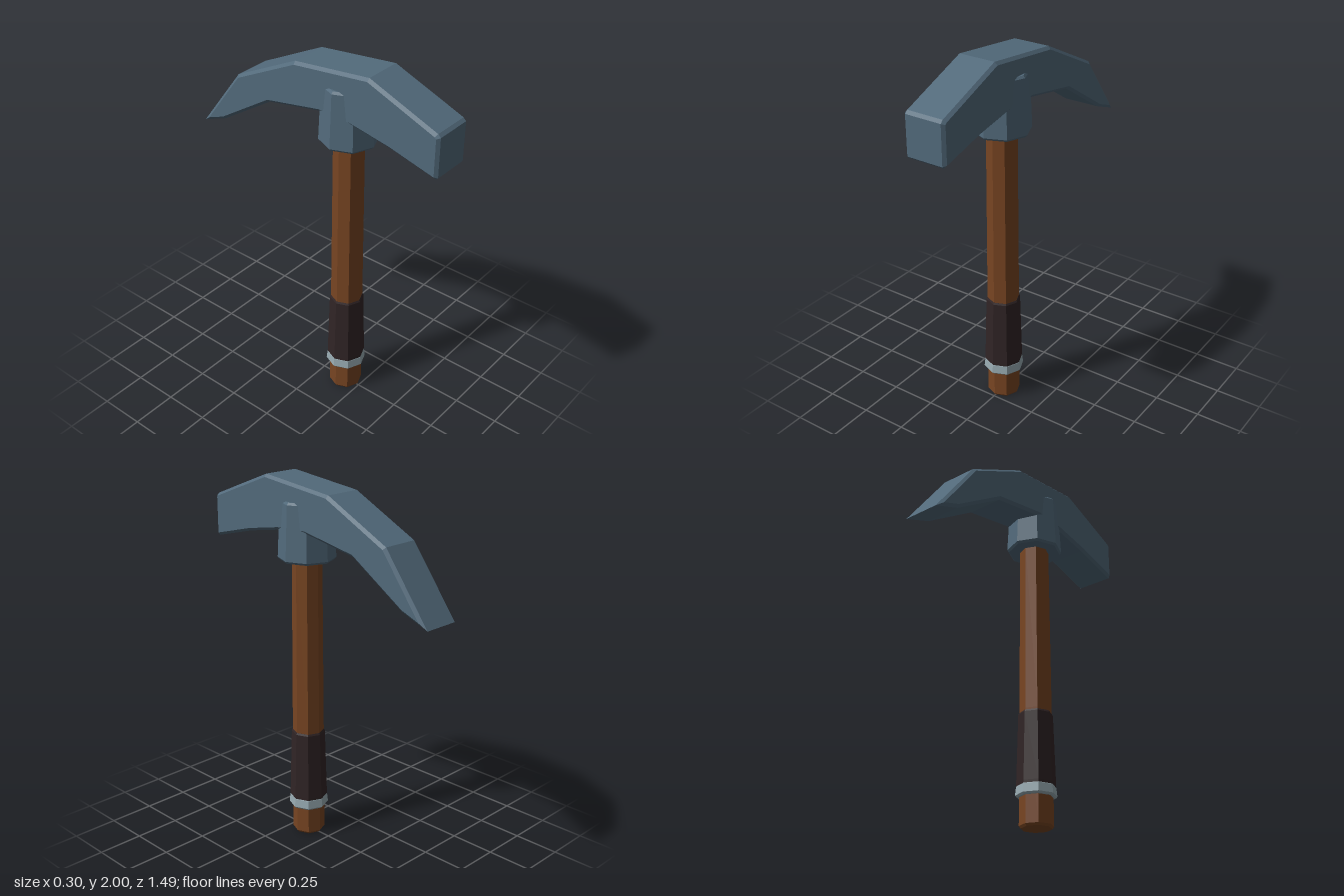
import * as THREE from 'three';

const paint = (name, color) => {
  const m = new THREE.MeshStandardMaterial({ color });
  m.name = name;
  m.flatShading = true;
  return m;
};

// Eight-sided turned part with corners on the axes; points are [radius, y]
function turned(name, points, material) {
  const profile = points.map(([r, y]) => new THREE.Vector2(r, y));
  const flat = new THREE.LatheGeometry(profile, 8).toNonIndexed();
  flat.computeVertexNormals();
  const mesh = new THREE.Mesh(flat, material);
  mesh.name = name;
  return mesh;
}

// Moves a counter-clockwise outline inward by d with mitred corners
function inset(outline, d) {
  const n = outline.length;
  return outline.map((p, i) => {
    const normal = (a, b) => {
      const e = b.clone().sub(a).normalize();
      return new THREE.Vector2(-e.y, e.x);
    };
    const n1 = normal(outline[(i + n - 1) % n], p);
    const n2 = normal(p, outline[(i + 1) % n]);
    const k = d / (1 + n1.dot(n2));
    return p.clone().add(n1.add(n2).multiplyScalar(k));
  });
}

// Side outline (z, y) swept across x with chamfered side edges
function headGeometry(outline, halfWidth, bevel) {
  const inner = inset(outline, bevel);
  const rings = [
    [-halfWidth, inner], [-halfWidth + bevel, outline],
    [halfWidth - bevel, outline], [halfWidth, inner],
  ];
  const n = outline.length;
  const positions = [];
  const index = [];
  rings.forEach(([x, ring]) => ring.forEach((p) => positions.push(x, p.y, p.x)));
  for (let r = 0; r < 3; r++) {
    for (let i = 0; i < n; i++) {
      const j = (i + 1) % n;
      const a = r * n, b = a + n;
      index.push(a + i, b + i, b + j, a + i, b + j, a + j);
    }
  }
  for (const [a, b, c] of THREE.ShapeUtils.triangulateShape(inner, [])) {
    index.push(a, b, c, 3 * n + a, 3 * n + c, 3 * n + b);
  }
  const g = new THREE.BufferGeometry();
  g.setAttribute('position', new THREE.Float32BufferAttribute(positions, 3));
  g.setIndex(index);
  const flat = g.toNonIndexed();
  flat.computeVertexNormals();
  return flat;
}

export function createModel() {
  const steel = paint('blue steel', 0x526a7b);
  const wood = paint('brown wood', 0x784522);
  const leather = paint('dark leather', 0x302425);
  const silver = paint('pale metal', 0x96a9b0);

  const model = new THREE.Group();
  model.name = 'hammer';

  // Head: blunt face at the front, curved claw at the back
  const outline = [
    [0.745, 1.835], [0.73, 1.85], [0.345, 2.0], [-0.1, 1.95], [-0.48, 1.76],
    [-0.745, 1.41], [-0.59, 1.47], [-0.27, 1.675], [0.06, 1.735],
    [0.25, 1.725], [0.47, 1.685], [0.735, 1.617], [0.745, 1.627],
  ].map(([z, y]) => new THREE.Vector2(z, y));
  const head = new THREE.Mesh(headGeometry(outline, 0.115, 0.015), steel);
  head.name = 'head';
  model.add(head);

  // Handle parts share one axis, set forward of centre
  const shaft = new THREE.Group();
  shaft.name = 'shaft';
  shaft.position.z = 0.155;
  shaft.add(
    turned('socket', [
      [0, 1.57], [0.142, 1.57], [0.152, 1.582], [0.138, 1.87], [0.128, 1.882], [0, 1.882],
    ], steel),
    turned('handle', [
      [0, 0], [0.08, 0], [0.089, 0.012], [0.085, 0.62], [0.079, 1.6], [0, 1.6],
    ], wood),
    turned('grip', [
      [0, 0.215], [0.102, 0.215], [0.102, 0.23], [0.091, 0.6], [0.086, 0.61], [0, 0.61],
    ], leather),
    turned('ring', [
      [0, 0.158], [0.1, 0.158], [0.108, 0.167], [0.103, 0.212], [0.098, 0.222], [0, 0.222],
    ], silver),
  );
  model.add(shaft);

  return model;
}
